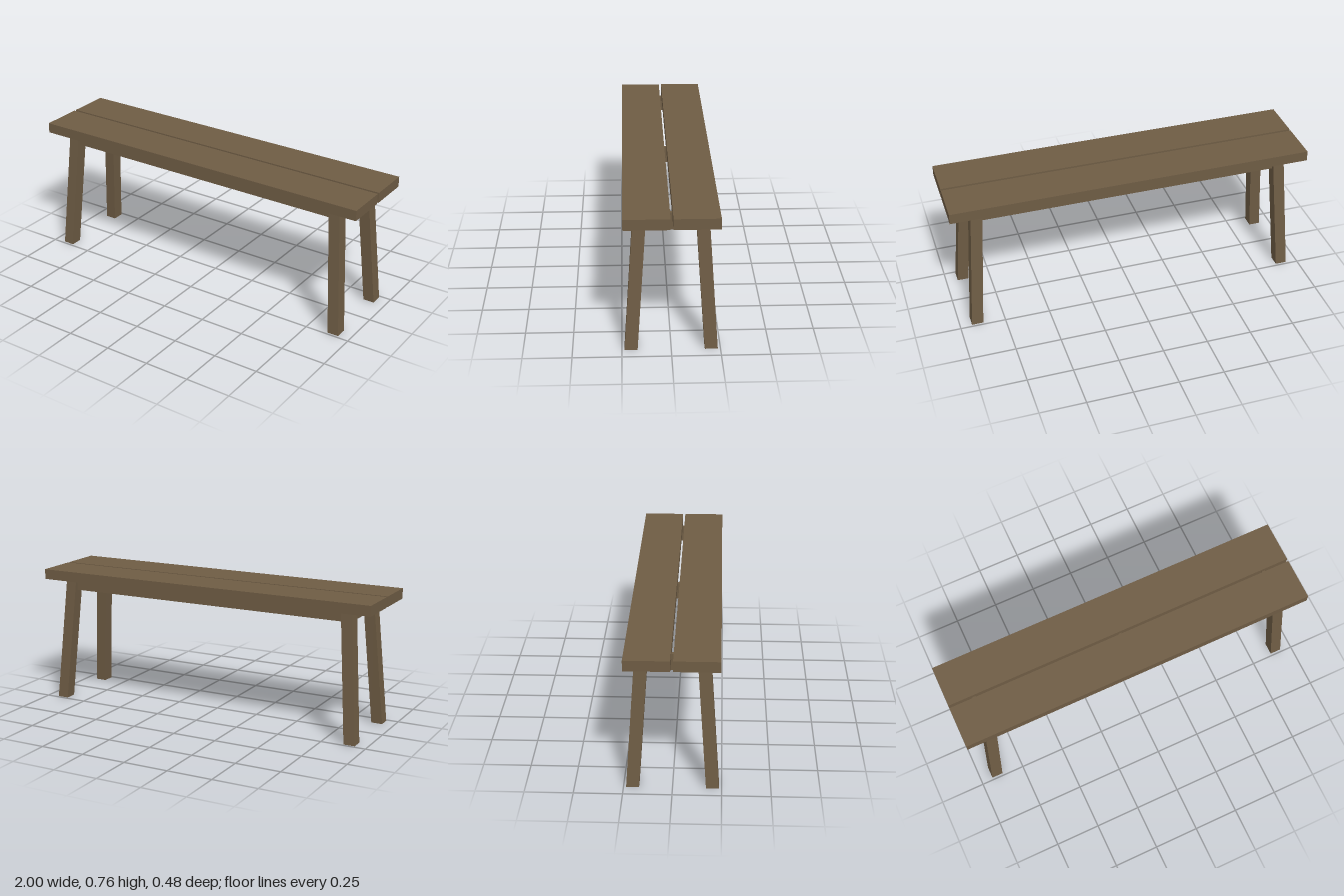
import * as THREE from 'three';

export function createModel() {
  const bench = new THREE.Group();
  bench.name = 'bench';
  const wood = new THREE.MeshStandardMaterial({ color: 0x6e5c44, side: THREE.DoubleSide });
  wood.name = 'brown wood';

  const add = (name, geometry, x, y, z) => {
    const mesh = new THREE.Mesh(geometry, wood);
    mesh.name = name;
    mesh.position.set(x, y, z);
    bench.add(mesh);
  };
  const box = (name, w, h, d, x, y, z) => add(name, new THREE.BoxGeometry(w, h, d), x, y, z);

  // Plank shell: a box without its bottom face, so the underside is hollow
  const shell = new THREE.BoxGeometry(2, 0.057, 0.231);
  const faces = [...shell.index.array];
  faces.splice(18, 6);
  shell.setIndex(faces);
  shell.clearGroups();

  // Leg: a square post sheared so that its foot splays outwards
  const legHeight = 0.73;
  const legGeometry = (sx, sz) => {
    const g = new THREE.BoxGeometry(0.063, legHeight, 0.066);
    g.translate(0, legHeight / 2, 0);
    const p = g.attributes.position;
    for (let i = 0; i < p.count; i++) {
      p.setX(i, p.getX(i) - sx * p.getY(i) * 0.076);
      p.setZ(i, p.getZ(i) - sz * p.getY(i) * 0.067);
    }
    g.computeVertexNormals();
    return g;
  };

  for (const sz of [-1, 1]) {
    const end = sz > 0 ? 'front' : 'back';
    // Seat planks with a narrow gap between them, and the recessed board inside each
    add(end + 'Plank', shell, 0, 0.7295, sz * 0.1225);
    box(end + 'PlankCore', 1.996, 0.025, 0.227, 0, 0.7425, sz * 0.1225);
    // Long rails running from leg to leg, up to the recessed board
    box(end + 'Rail', 1.68, 0.087, 0.018, 0, 0.6865, sz * 0.166);
    for (const sx of [-1, 1]) {
      add(end + (sx > 0 ? 'Left' : 'Right') + 'Leg', legGeometry(sx, sz), sx * 0.904, 0, sz * 0.2035);
    }
  }

  // Cross braces between the rails
  [['rightBrace', -0.858], ['middleBrace', -0.01], ['leftBrace', 0.856]].forEach(([name, x]) =>
    box(name, 0.018, 0.09, 0.318, x, 0.686, 0));

  return bench;
}
